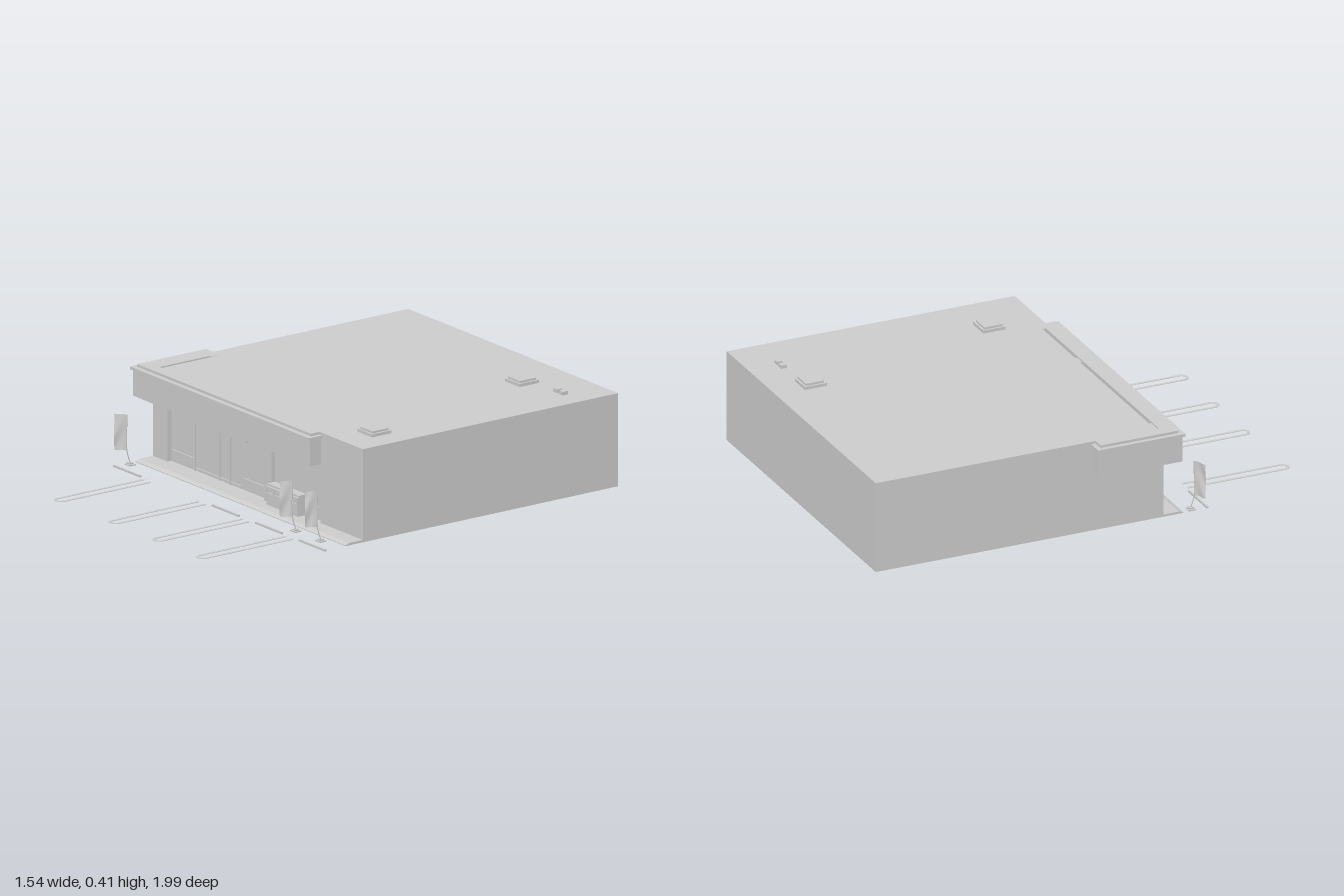
import * as THREE from 'three';

const mat = new THREE.MeshStandardMaterial({ color: 0xcccccc, flatShading: true });
const thin = new THREE.MeshStandardMaterial({ color: 0xcccccc, side: THREE.DoubleSide });

export function createModel() {
  const model = new THREE.Group();

  const add = (name, geometry, material = mat) => {
    const mesh = new THREE.Mesh(geometry, material);
    mesh.name = name;
    model.add(mesh);
    return mesh;
  };
  // Box given by its limits on each axis
  const box = (name, x0, x1, y0, y1, z0, z1) =>
    add(name, new THREE.BoxGeometry(x1 - x0, y1 - y0, z1 - z0)
      .translate((x0 + x1) / 2, (y0 + y1) / 2, (z0 + z1) / 2));
  // Floor plan of [x, z] corners raised from y0 to y1
  const outline = (pts) => pts.map(([x, z]) => new THREE.Vector2(x, -z));
  const plan = (name, pts, y0, y1, hole) => {
    const shape = new THREE.Shape(outline(pts));
    if (hole) shape.holes.push(new THREE.Path(outline(hole)));
    return add(name, new THREE.ExtrudeGeometry(shape, { depth: y1 - y0, bevelEnabled: false })
      .rotateX(-Math.PI / 2).translate(0, y0, 0));
  };

  // Walls with two shallow storefront recesses between piers
  const front = 0.31, recess = 0.29;
  plan('walls', [
    [-0.7, -1], [0.755, -1], [0.755, front], [0.46, front], [0.46, recess],
    [0.12, recess], [0.12, front], [0.07, front], [0.07, recess],
    [-0.6, recess], [-0.6, front], [-0.7, front],
  ], 0, 0.385);

  // Parapet around the sunken roof, stepping out over the canopy
  plan('parapet', [
    [-0.7, -1], [0.755, -1], [0.755, front], [0.455, front], [0.455, 0.355],
    [-0.75, 0.355], [-0.75, 0], [-0.7, 0],
  ], 0.38, 0.402, [
    [-0.65, -0.955], [0.705, -0.955], [0.705, 0.255], [0.405, 0.255], [0.405, 0.305],
    [-0.698, 0.305], [-0.698, 0.05], [-0.65, 0.05],
  ]);

  // Canopy band and cornice wrapping the front left corner
  const band = (name, x0, x1, z0, z1, y0, y1) => plan(name, [
    [x0, z0], [-0.69, z0], [-0.69, 0.3], [x1, 0.3], [x1, z1], [x0, z1],
  ], y0, y1);
  band('canopyFascia', -0.762, 0.465, -0.013, 0.367, 0.265, 0.38);
  band('canopyCornice', -0.77, 0.473, -0.02, 0.377, 0.379, 0.391);

  // Sidewalk with a sloped curb
  const walk = new THREE.Shape([[0.28, 0], [0.4, 0], [0.4, 0.003], [0.38, 0.01], [0.28, 0.01]]
    .map(([z, y]) => new THREE.Vector2(z, y)));
  add('sidewalk', new THREE.ExtrudeGeometry(walk, { depth: 1.455, bevelEnabled: false })
    .rotateY(-Math.PI / 2).translate(0.755, 0, 0));

  // Storefront: door frames, rails and header panel
  for (const x of [-0.432, -0.26, -0.187]) {
    box('doorFrame', x - 0.003, x + 0.003, 0.01, 0.225, recess - 0.01, recess + 0.006);
  }
  for (const [x0, x1, y] of [[-0.59, -0.44, 0.06], [-0.425, -0.105, 0.022], [-0.09, 0.06, 0.06], [0.335, 0.43, 0.06]]) {
    box('windowRail', x0, x1, y - 0.003, y + 0.003, recess - 0.01, recess + 0.006);
  }
  box('doorHeader', -0.472, -0.057, 0.225, 0.27, recess - 0.01, front);

  // Storage chest with four framed openings
  box('storageChest', 0.122, 0.337, 0.01, 0.09, recess - 0.01, 0.335);
  box('storageChestLid', 0.12, 0.339, 0.09, 0.1, recess - 0.01, 0.33);
  box('storageChestRail', 0.12, 0.339, 0.085, 0.092, 0.33, 0.34);
  box('storageChestRail', 0.12, 0.339, 0.058, 0.065, 0.33, 0.34);
  for (let i = 0; i < 5; i++) {
    const x = 0.124 + i * 0.0527;
    box('storageChestDivider', x - 0.004, x + 0.004, 0.062, 0.088, 0.33, 0.34);
  }

  // Roof hatches and vents
  for (const [x, z] of [[0.352, -0.805], [0.552, 0.1]]) {
    box('roofHatchCurb', x - 0.05, x + 0.05, 0.38, 0.398, z - 0.05, z + 0.05);
    box('roofHatchLid', x - 0.041, x + 0.041, 0.398, 0.407, z - 0.041, z + 0.041);
  }
  for (const x of [0.547, 0.588]) box('roofVent', x - 0.013, x + 0.013, 0.38, 0.4, -0.855, -0.829);

  // Wheel stops
  for (const [x0, x1] of [[-0.7, -0.517], [-0.02, 0.165], [0.284, 0.466], [0.585, 0.766]]) {
    box('wheelStop', x0, x1, 0, 0.008, 0.505, 0.514);
  }

  // Hairpin parking lines painted on the ground
  const r = 0.029, w = 0.012, end = 0.962;
  for (const x of [-0.458, -0.077, 0.225, 0.526]) {
    const s = new THREE.Shape();
    s.moveTo(x - r, -0.52);
    s.lineTo(x - r, -end);
    s.absarc(x, -end, r, Math.PI, Math.PI * 2, false);
    s.lineTo(x + r, -0.52);
    s.lineTo(x + r - w, -0.52);
    s.lineTo(x + r - w, -end);
    s.absarc(x, -end, r - w, Math.PI * 2, Math.PI, true);
    s.lineTo(x - r + w, -0.52);
    add('parkingLine', new THREE.ExtrudeGeometry(s, { depth: 0.002, bevelEnabled: false, curveSegments: 10 })
      .rotateX(-Math.PI / 2));
  }

  // Feather flags on weighted bases: [pole x, reach in x, reach in z]
  for (const [x, dx, dz] of [[-0.68, -0.046, 0.032], [0.468, -0.042, 0.036], [0.64, -0.03, 0.042]]) {
    const z = 0.442;
    box('flagBase', x - 0.018, x + 0.018, 0, 0.005, z - 0.016, z + 0.016);
    box('flagBaseWeight', x - 0.01, x + 0.01, 0.005, 0.011, z - 0.01, z + 0.01);
    const px = x - 0.004, pz = z + 0.013;
    add('flagPole', new THREE.TubeGeometry(new THREE.CatmullRomCurve3([
      new THREE.Vector3(x, 0.01, z), new THREE.Vector3(px, 0.06, pz), new THREE.Vector3(px, 0.218, pz),
    ]), 10, 0.002, 6), thin);

    const cloth = new THREE.PlaneGeometry(1, 1, 8, 12);
    const p = cloth.attributes.position;
    for (let i = 0; i < p.count; i++) {
      const u = p.getX(i) + 0.5, v = p.getY(i) + 0.5;
      const wave = 0.004 * u * Math.sin(u * 5 + v * 7);
      p.setXYZ(i, px + dx * u + wave, 0.063 + 0.155 * v + 0.004 * u * Math.sin(u * 6), pz + dz * u + wave);
    }
    cloth.computeVertexNormals();
    add('flagCloth', cloth, thin);
  }

  return model;
}
